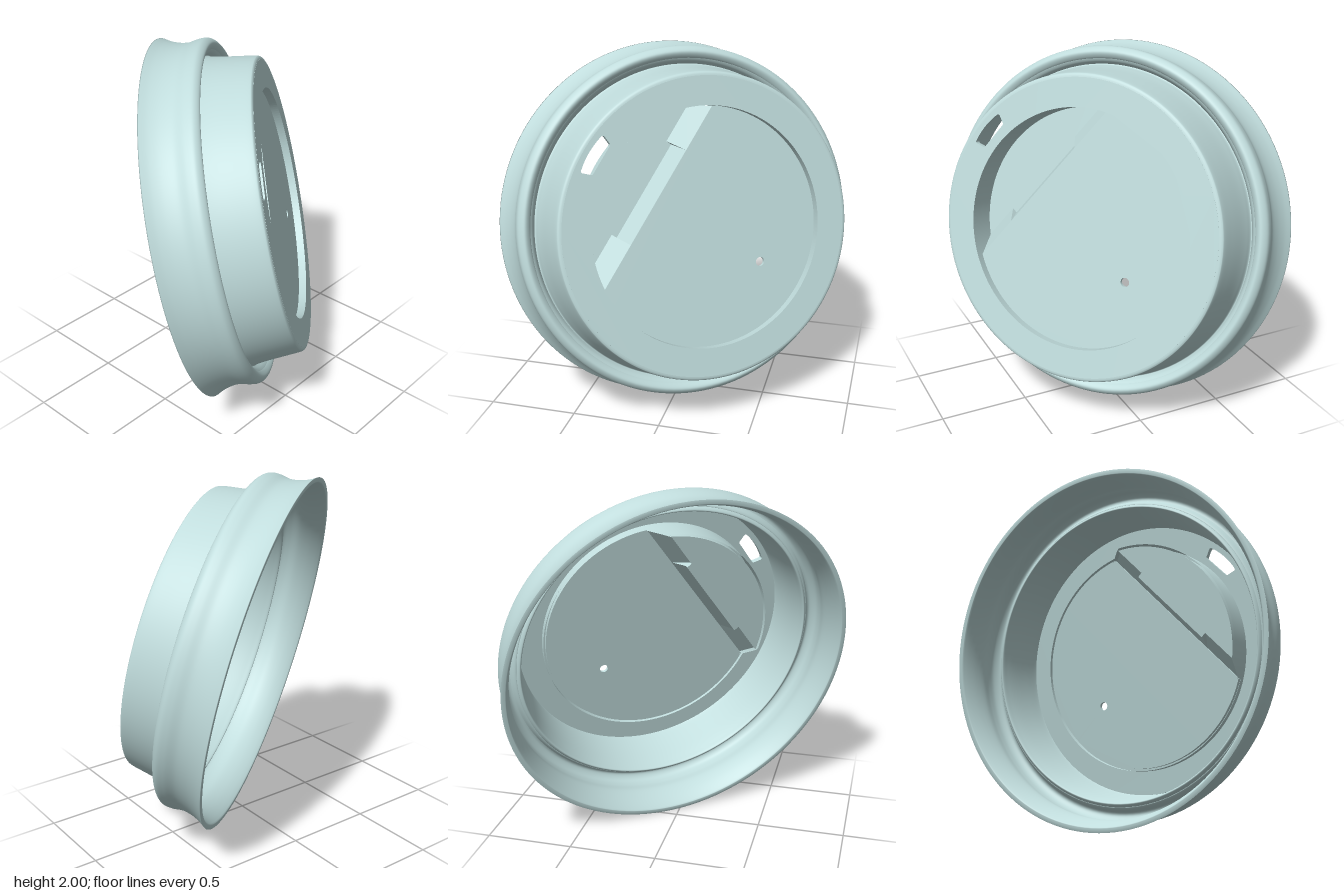
import * as THREE from 'three';

const material = new THREE.MeshStandardMaterial({ color: 0xc0dcdc, side: THREE.DoubleSide });

const RECESS_R = 0.652;      // radius of the sunken floor
const FLOOR_Y = -0.045;      // main floor level below the top ring
const TAB_Y = -0.163;        // deeper pocket under the drinking hole
const FOLD_TOP_X = 0.32;     // upper edge of the sloping step
const FOLD_END_X = 0.403;    // lower edge of the step near its ends
const FOLD_MID_X = 0.371;    // lower edge along the steeper middle
const FOLD_MID_Z = 0.29;
const SHEET = 0.018;

function part(name, geometry) {
  const mesh = new THREE.Mesh(geometry, material);
  mesh.name = name;
  return mesh;
}

// Flat plate lying in the lid plane, its upper face at topY
function plate(shape, topY, thickness) {
  const g = new THREE.ExtrudeGeometry(shape, { depth: thickness, bevelEnabled: false, curveSegments: 96 });
  g.rotateX(-Math.PI / 2);
  g.translate(0, topY - thickness, 0);
  return g;
}

function circlePath(x, y, r) {
  return new THREE.Path().absarc(x, y, r, 0, Math.PI * 2, true);
}

// Skirt, bead and rim: one thin closed profile turned around the axis
function skirtGeometry() {
  const v = (x, y) => new THREE.Vector2(x, y);
  const outer = new THREE.SplineCurve([
    v(1.02, -0.53), v(0.995, -0.485), v(0.976, -0.43), v(0.968, -0.37), v(0.977, -0.31),
    v(0.974, -0.265), v(0.945, -0.238), v(0.915, -0.252), v(0.893, -0.285),
    v(0.877, -0.29), v(0.868, -0.255), v(0.858, -0.2), v(0.844, -0.1),
    v(0.832, -0.022), v(0.823, -0.005), v(0.805, 0),
  ]).getPoints(100);
  const inner = outer.map((p) => v(p.x - SHEET, Math.max(-0.53, p.y - 0.016))).reverse();
  return new THREE.LatheGeometry([...inner, ...outer], 128);
}

// Top ring with the recess opening and the drinking hole
function ringGeometry() {
  const shape = new THREE.Shape().absarc(0, 0, 0.808, 0, Math.PI * 2, false);
  shape.holes.push(circlePath(0, 0, RECESS_R));
  const hole = new THREE.Path();
  hole.moveTo(0.704, -0.08);
  hole.lineTo(0.704, 0.08);
  hole.quadraticCurveTo(0.704, 0.092, 0.714, 0.094);
  hole.lineTo(0.752, 0.108);
  hole.quadraticCurveTo(0.764, 0.111, 0.767, 0.1);
  hole.quadraticCurveTo(0.79, 0, 0.767, -0.1);
  hole.quadraticCurveTo(0.764, -0.111, 0.752, -0.108);
  hole.lineTo(0.714, -0.094);
  hole.quadraticCurveTo(0.704, -0.092, 0.704, -0.08);
  shape.holes.push(hole);
  return plate(shape, 0, 0.03);
}

// Recess wall: an open cylinder whose lower edge follows the two floor levels
function wallGeometry(radius) {
  const g = new THREE.CylinderGeometry(radius, radius, 1, 256, 1, true);
  const p = g.attributes.position;
  for (let i = 0; i < p.count; i++) {
    if (p.getY(i) > 0) {
      p.setY(i, 0);
    } else {
      const x = p.getX(i) * RECESS_R / radius;
      const k = THREE.MathUtils.clamp((x - FOLD_TOP_X) / (FOLD_END_X - FOLD_TOP_X), 0, 1);
      p.setY(i, THREE.MathUtils.lerp(FLOOR_Y, TAB_Y, k) - SHEET);
    }
  }
  return g;
}

// Main floor with its vent hole, cut off along the fold
function floorGeometry() {
  const a = Math.acos(FOLD_TOP_X / RECESS_R);
  const shape = new THREE.Shape().absarc(0, 0, RECESS_R + 0.004, a, Math.PI * 2 - a, false);
  shape.closePath();
  shape.holes.push(circlePath(-0.379, 0, 0.025));
  return plate(shape, FLOOR_Y, SHEET);
}

// Lower edge of the step, from one end to the other
const foldEndZ = Math.sqrt(RECESS_R ** 2 - FOLD_END_X ** 2);
const foldLine = [
  [FOLD_END_X, foldEndZ], [FOLD_END_X, FOLD_MID_Z], [FOLD_MID_X, FOLD_MID_Z],
  [FOLD_MID_X, -FOLD_MID_Z], [FOLD_END_X, -FOLD_MID_Z], [FOLD_END_X, -foldEndZ],
];

// Deeper pocket floor
function pocketGeometry() {
  const a = Math.acos(FOLD_END_X / RECESS_R);
  const shape = new THREE.Shape().absarc(0, 0, RECESS_R + 0.004, -a, a, false);
  foldLine.forEach(([x, z]) => shape.lineTo(x, z));
  shape.closePath();
  return plate(shape, TAB_Y, SHEET);
}

// Sloping step joining the two floors
function stepGeometry() {
  const topEndZ = Math.sqrt(RECESS_R ** 2 - FOLD_TOP_X ** 2);
  const pos = [];
  for (let i = 0; i < foldLine.length - 1; i++) {
    const [ax, az] = foldLine[i];
    const [bx, bz] = foldLine[i + 1];
    const taz = i === 0 ? topEndZ : az;
    const tbz = i === foldLine.length - 2 ? -topEndZ : bz;
    const a = [ax, TAB_Y, az], b = [bx, TAB_Y, bz];
    const c = [FOLD_TOP_X, FLOOR_Y, tbz], d = [FOLD_TOP_X, FLOOR_Y, taz];
    pos.push(...a, ...b, ...c);
    if (taz !== tbz) pos.push(...a, ...c, ...d);
  }
  const g = new THREE.BufferGeometry();
  g.setAttribute('position', new THREE.Float32BufferAttribute(pos, 3));
  g.computeVertexNormals();
  return g;
}

export function createModel() {
  const lid = new THREE.Group();
  lid.name = 'cupLid';
  lid.add(
    part('skirtAndRim', skirtGeometry()),
    part('topRing', ringGeometry()),
    part('recessWall', wallGeometry(RECESS_R)),
    part('recessWallUnderside', wallGeometry(RECESS_R + SHEET)),
    part('recessFloor', floorGeometry()),
    part('pocketFloor', pocketGeometry()),
    part('pocketStep', stepGeometry()),
  );

  // Tilt the lid: local y is its axis, local x points to the drinking hole
  const axis = new THREE.Vector3(0.577, 0.223, 0.786).normalize();
  const side = new THREE.Vector3(-0.722, 0.593, 0.362).cross(axis).normalize();
  const toHole = new THREE.Vector3().crossVectors(axis, side);
  lid.quaternion.setFromRotationMatrix(new THREE.Matrix4().makeBasis(toHole, axis, side));
  lid.position.set(0.228, 1.113, 0.267);

  const model = new THREE.Group();
  model.name = 'tiltedCupLid';
  model.add(lid);
  return model;
}
